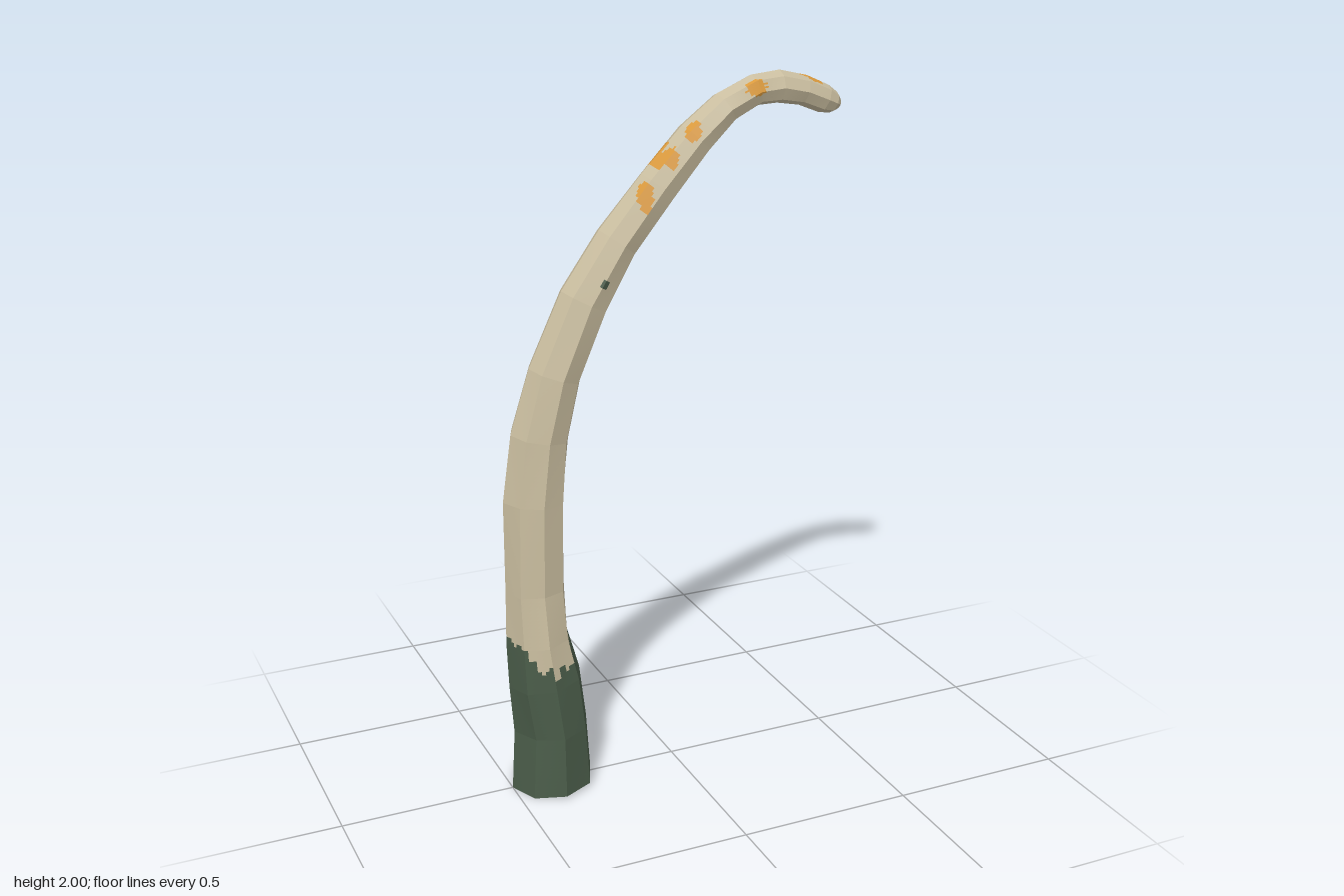
import * as THREE from 'three';

const SIDES = 8, SUB = 7, STEP = 0.011;

// Centre line from base to tip: x, y, radius in the bend plane, radius in z
const RINGS = [
  [-0.38, 0.012, 0.12, 0.123],
  [-0.38, 0.19, 0.106, 0.115],
  [-0.397, 0.34, 0.108, 0.106],
  [-0.412, 0.47, 0.092, 0.097],
  [-0.417, 0.62, 0.088, 0.086],
  [-0.412, 0.88, 0.088, 0.083],
  [-0.39, 1.06, 0.082, 0.08],
  [-0.347, 1.23, 0.076, 0.077],
  [-0.26, 1.425, 0.071, 0.07],
  [-0.16, 1.575, 0.064, 0.063],
  [-0.045, 1.715, 0.058, 0.058],
  [0.065, 1.835, 0.052, 0.055],
  [0.155, 1.911, 0.046, 0.05],
  [0.245, 1.951, 0.043, 0.047],
  [0.315, 1.957, 0.043, 0.045],
  [0.39, 1.941, 0.041, 0.042],
  [0.455, 1.915, 0.039, 0.039],
  [0.485, 1.903, 0.03, 0.03],
  [0.501, 1.897, 0.014, 0.015],
  [0.503, 1.896, 0, 0],
];

// Painted patches: centre x, y, z and reach in x, y, z
const ORANGE_SPOTS = [
  [-0.095, 1.70, 0.05, 0.02, 0.045, 0.04],
  [-0.02, 1.80, 0.045, 0.02, 0.033, 0.035],
  [0.045, 1.865, 0.05, 0.025, 0.03, 0.035],
  [0.23, 1.965, 0.045, 0.03, 0.025, 0.03],
  [-0.03, 1.80, -0.04, 0.035, 0.07, 0.05],
  [-0.045, 1.80, 0.005, 0.018, 0.05, 0.04],
  [0.38, 1.985, -0.015, 0.035, 0.025, 0.018],
  [0.42, 1.97, 0.003, 0.03, 0.025, 0.016],
];
const GREEN_SPOTS = [
  [-0.22, 1.48, 0.065, 0.012, 0.014, 0.03],
  [-0.335, 1.25, -0.075, 0.02, 0.05, 0.03],
  [-0.36, 1.18, -0.075, 0.024, 0.06, 0.03],
  [-0.35, 0.83, -0.06, 0.015, 0.012, 0.03],
];
const CREAM_FLECKS = [
  [-0.43, 0.42, 0.09, 0.016, 0.026, 0.04],
  [-0.35, 0.42, -0.085, 0.015, 0.02, 0.03],
  [-0.45, 0.43, -0.08, 0.018, 0.02, 0.03],
];

// Repeatable noise from 0 to 1
function noise(i, j) {
  const s = Math.sin(i * 127.1 + j * 311.7) * 43758.5453;
  return s - Math.floor(s);
}

// Corner points of one ring, standing square to the centre line
function ringPoints(k) {
  const [x, y, rn, rz] = RINGS[k];
  const a = RINGS[Math.max(k - 1, 0)], b = RINGS[Math.min(k + 1, RINGS.length - 1)];
  const t = new THREE.Vector2(b[0] - a[0], b[1] - a[1]).normalize();
  if (k === 0) t.set(-0.06, 1).normalize();
  const points = [];
  for (let i = 0; i < SIDES; i++) {
    const ang = (i / SIDES) * Math.PI * 2;
    const bump = k > 0 && k < 16 ? 1 + (noise(i, k) - 0.5) * 0.1 : 1;
    const n = Math.cos(ang) * rn * bump;
    points.push(new THREE.Vector3(x - t.y * n, y + t.x * n, Math.sin(ang) * rz * bump));
  }
  return points;
}

const inside = (p, spots, rough) => spots.some(([x, y, z, rx, ry, rz]) =>
  ((p.x - x) / rx) ** 2 + ((p.y - y) / ry) ** 2 + ((p.z - z) / rz) ** 2 < rough);

// Which colour a small cell of the skin has
function colourAt(p, col, row) {
  const ang = (col / (SIDES * SUB)) * Math.PI * 2;
  const notch = ang > 1.5 && ang < 2.3 ? -0.045 : 0;
  const edge = 0.458 + 0.028 * Math.cos(ang * 2) + notch + (noise(col >> 1, 5) - 0.5) * 0.035;
  const rough = 0.8 + noise(col, row) * 0.4;
  if (p.y < edge) return inside(p, CREAM_FLECKS, rough) ? 'cream' : 'green';
  if (inside(p, ORANGE_SPOTS, rough)) return 'orange';
  return inside(p, GREEN_SPOTS, rough) ? 'green' : 'cream';
}

export function createModel() {
  const group = new THREE.Group();
  group.name = 'curvedTusk';
  const skin = { cream: [], green: [], orange: [] };

  // Flat facets between rings, cut into small cells sorted by colour
  const rings = RINGS.map((_, k) => ringPoints(k));
  let row = 0;
  for (let k = 0; k < rings.length - 1; k++) {
    const length = Math.hypot(RINGS[k + 1][0] - RINGS[k][0], RINGS[k + 1][1] - RINGS[k][1]);
    const rows = Math.max(1, Math.round(length / STEP));
    for (let j = 0; j < rows; j++, row++) {
      for (let col = 0; col < SIDES * SUB; col++) {
        const s = Math.floor(col / SUB), e = (s + 1) % SIDES, c = col % SUB;
        const at = (u, v) => rings[k][s].clone().lerp(rings[k][e], u)
          .lerp(rings[k + 1][s].clone().lerp(rings[k + 1][e], u), v);
        const u0 = c / SUB, u1 = (c + 1) / SUB, v0 = j / rows, v1 = (j + 1) / rows;
        const A = at(u0, v0), B = at(u1, v0), C = at(u1, v1), D = at(u0, v1);
        const list = skin[colourAt(at((u0 + u1) / 2, (v0 + v1) / 2), col, row)];
        const corners = k === rings.length - 2 && j === rows - 1 ? [A, B, C] : [A, B, C, A, C, D];
        for (const p of corners) list.push(p.x, p.y, p.z);
      }
    }
  }

  // One mesh per colour; the base is open, so both sides show
  const parts = [
    ['cream', 'shaft', 0xc9bd9f],
    ['green', 'baseSleeve', 0x4a5c49],
    ['orange', 'shaftPatches', 0xd9993c],
  ];
  for (const [key, name, color] of parts) {
    const geometry = new THREE.BufferGeometry();
    geometry.setAttribute('position', new THREE.Float32BufferAttribute(skin[key], 3));
    geometry.computeVertexNormals();
    const material = new THREE.MeshStandardMaterial({ color, side: THREE.DoubleSide });
    material.name = key;
    const mesh = new THREE.Mesh(geometry, material);
    mesh.name = name;
    group.add(mesh);
  }
  return group;
}
